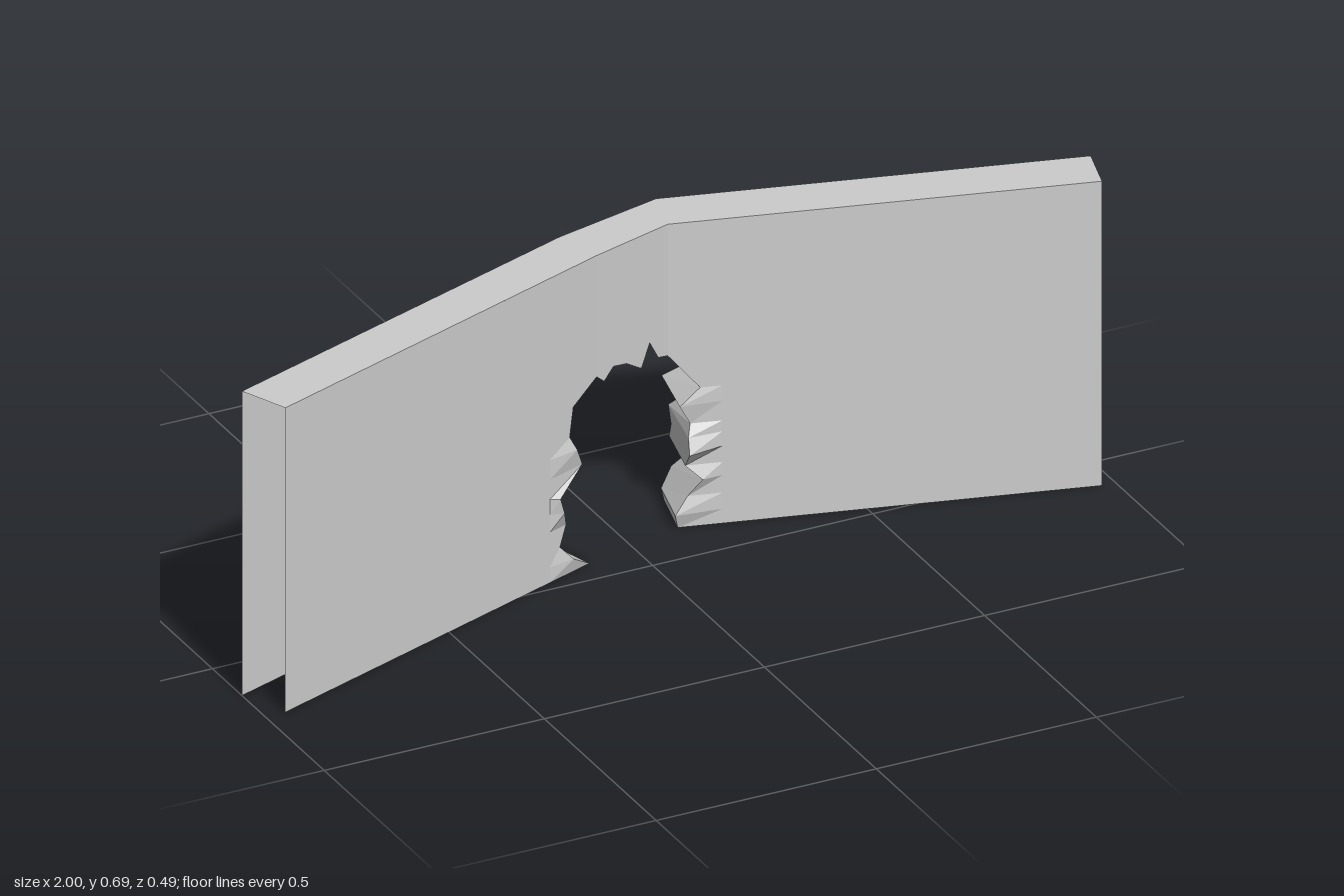
import * as THREE from 'three';

const H = 0.695;
// Plan of the bent wall: matching stations [x, z] on the front and back skins
const FRONT = [[-0.955, 0.237], [-0.09, -0.073], [0.1, -0.13], [0.97, 0.1]];
const BACK = [[-1, 0.132], [-0.12, -0.18], [0.13, -0.241], [1, -0.01]];
const SIDE_L = -0.22, SIDE_R = 0.21; // where the broken zone begins

// Ragged breach outline, left foot to right foot: [x, y, front bulge, back bulge]
const LEFT = [
  [-0.11, 0, 0, 0], [-0.16, 0.035, 0.01, 0.02], [-0.192, 0.07, 0, 0.035], [-0.175, 0.115, 0, 0.005],
  [-0.19, 0.155, 0.018, 0.035], [-0.2, 0.19, 0.016, 0.01], [-0.13, 0.235, 0, 0.03],
  [-0.15, 0.28, 0.01, 0.005], [-0.165, 0.31, 0, 0.02], [-0.155, 0.375, 0, 0],
];
const ARCH = [
  [-0.09, 0.418, 0, 0], [-0.07, 0.4, 0, 0], [-0.045, 0.425, 0, 0], [-0.01, 0.418, 0, 0],
  [0.03, 0.392, 0, 0], [0.052, 0.442, 0, 0], [0.075, 0.4, 0, 0], [0.1, 0.395, 0, 0],
];
const RIGHT = [
  [0.165, 0.315, 0, 0], [0.12, 0.28, 0.01, 0.02], [0.145, 0.235, 0, 0], [0.135, 0.21, 0.015, 0.024],
  [0.13, 0.177, 0.032, 0], [0.135, 0.14, 0, 0.02], [0.165, 0.11, 0.012, 0], [0.14, 0.07, 0, 0.022],
  [0.11, 0.033, 0.012, 0], [0.12, 0, 0, 0.01],
];

// Point on the front (t = 0) or back (t = 1) skin, u being the front x
function at(u, y, t, bulge = 0) {
  const i = u < FRONT[1][0] ? 0 : u < FRONT[2][0] ? 1 : 2;
  const k = (u - FRONT[i][0]) / (FRONT[i + 1][0] - FRONT[i][0]);
  const P = t ? BACK : FRONT;
  const x = P[i][0] + k * (P[i + 1][0] - P[i][0]);
  const z = P[i][1] + k * (P[i + 1][1] - P[i][1]);
  return [x, y, z + (t ? -bulge : bulge)];
}

function quadMesh(name, quads) {
  const pos = quads.flatMap(([a, b, c, d]) => [a, b, c, a, c, d].flat());
  const g = new THREE.BufferGeometry();
  g.setAttribute('position', new THREE.Float32BufferAttribute(pos, 3));
  g.computeVertexNormals();
  const m = new THREE.Mesh(g, new THREE.MeshStandardMaterial({
    color: 0xcccccc, flatShading: true, side: THREE.DoubleSide,
  }));
  m.name = name;
  return m;
}

export function createModel() {
  const group = new THREE.Group();
  group.name = 'breachedWall';

  // Each outline point is paired with an anchor on the intact wall
  const pairs = [
    ...LEFT.map((o) => [o, [SIDE_L, o[1]]]),
    [LEFT[LEFT.length - 1], [SIDE_L, H]],
    ...ARCH.map((o) => [o, [o[0], H]]),
    [RIGHT[0], [SIDE_R, H]],
    ...RIGHT.map((o) => [o, [SIDE_R, o[1]]]),
  ];

  // Front and back skins: two intact panels and the ragged ring
  for (const t of [0, 1]) {
    const quads = [[FRONT[0][0], SIDE_L], [SIDE_R, FRONT[3][0]]].map(([a, b]) => [
      at(a, 0, t), at(b, 0, t), at(b, H, t), at(a, H, t),
    ]);
    for (let i = 0; i < pairs.length - 1; i++) {
      const [o, a] = pairs[i], [p, b] = pairs[i + 1];
      quads.push([
        at(a[0], a[1], t), at(o[0], o[1], t, o[2 + t]),
        at(p[0], p[1], t, p[2 + t]), at(b[0], b[1], t),
      ]);
    }
    if (t) quads.forEach((q) => q.reverse());
    group.add(quadMesh(t ? 'backSkin' : 'frontSkin', quads));
  }

  // Broken edge through the thickness of the wall
  const rim = [...LEFT, ...ARCH, ...RIGHT];
  const reveal = rim.slice(1).map((p, i) => {
    const o = rim[i];
    return [
      at(o[0], o[1], 0, o[2]), at(o[0], o[1], 1, o[3]),
      at(p[0], p[1], 1, p[3]), at(p[0], p[1], 0, p[2]),
    ];
  });
  group.add(quadMesh('breachEdge', reveal));

  // Flat top; the ends and underside stay open
  const top = FRONT.slice(1).map((f, i) => {
    const a = FRONT[i][0], b = f[0];
    return [at(a, H, 0), at(b, H, 0), at(b, H, 1), at(a, H, 1)];
  });
  group.add(quadMesh('wallTop', top));
  return group;
}
